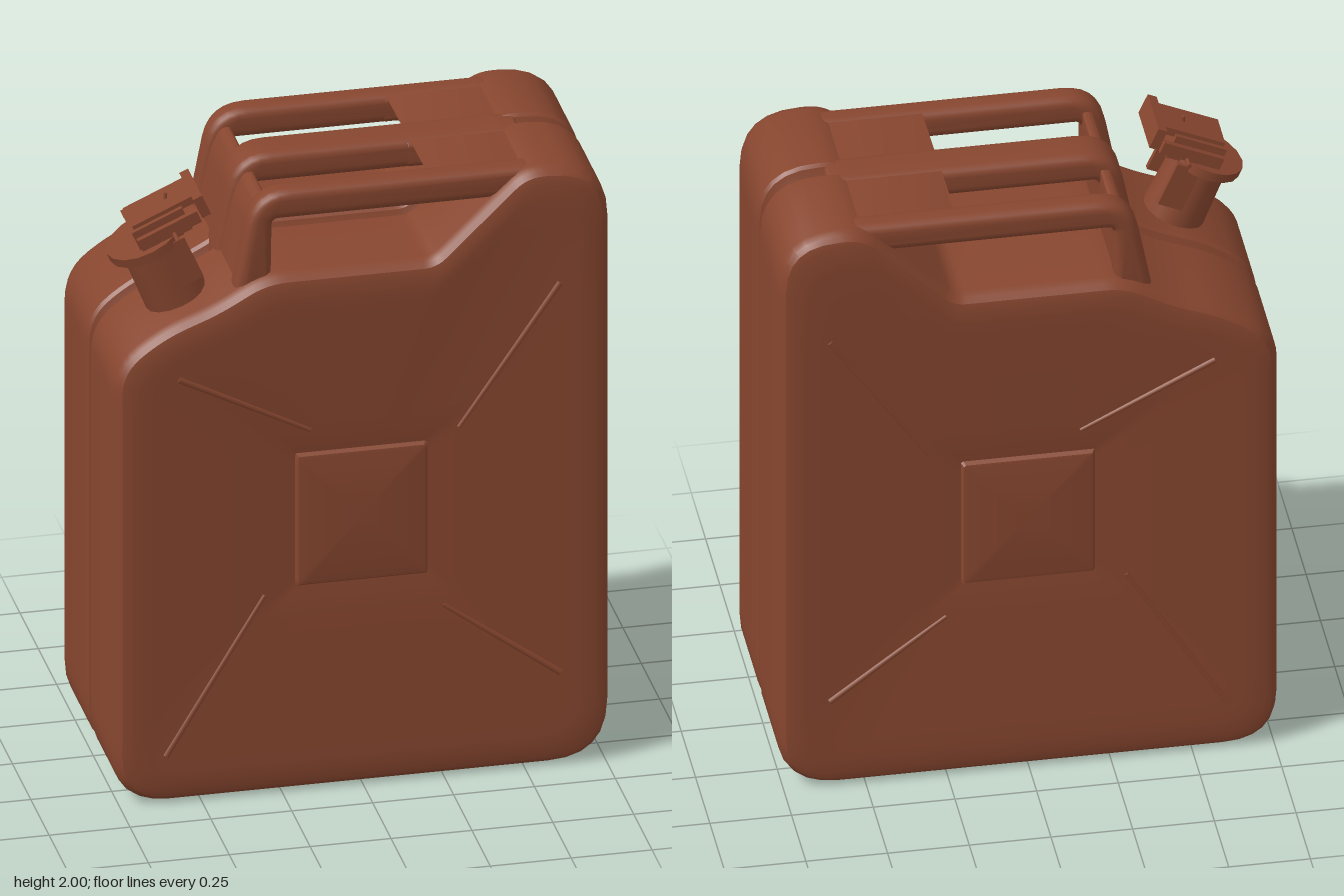
import * as THREE from 'three';
import { toCreasedNormals } from 'three/addons/utils/BufferGeometryUtils.js';

const CY = 0.9; // height of the pressed panel's centre

// Rounds each corner [x, y, cut] of a polygon and subdivides its straight edges.
function roundedOutline(corners) {
  const V = (c) => new THREE.Vector2(c[0], c[1]);
  const n = corners.length;
  const arcs = corners.map((c, i) => {
    const p = V(c), a = V(corners[(i + n - 1) % n]), b = V(corners[(i + 1) % n]);
    const start = p.clone().add(a.sub(p).setLength(c[2]));
    const end = p.clone().add(b.sub(p).setLength(c[2]));
    return new THREE.QuadraticBezierCurve(start, p, end).getPoints(6);
  });
  const pts = [];
  arcs.forEach((arc, i) => {
    const next = arcs[(i + 1) % n][0], last = arc[arc.length - 1];
    pts.push(...arc);
    const steps = Math.max(1, Math.round(last.distanceTo(next) / 0.05));
    for (let k = 1; k < steps; k++) pts.push(last.clone().lerp(next, k / steps));
  });
  return pts;
}

function inset(pts, d) {
  const n = pts.length;
  return pts.map((p, i) => {
    const t = pts[(i + 1) % n].clone().sub(pts[(i + n - 1) % n]).normalize();
    return new THREE.Vector2(p.x - t.y * d, p.y + t.x * d);
  });
}

// Projects the outline onto a rectangle around the panel centre.
function toRect(pts, hw, hh) {
  return pts.map((p) => {
    const x = p.x, y = p.y - CY;
    const s = 1 / Math.max(Math.abs(x) / hw, Math.abs(y) / hh);
    return new THREE.Vector2(x * s, CY + y * s);
  });
}

// Can shell: rings from the seam to the pressed front panel, mirrored to the back.
function bodyGeometry() {
  const outline = roundedOutline([
    [-0.765, 0, 0.17], [0.765, 0, 0.19], [0.765, 2, 0.19], [0.5, 2, 0.06],
    [0.22, 1.73, 0.03], [-0.3, 1.73, 0.07], [-0.45, 1.645, 0.06], [-0.62, 1.58, 0.08], [-0.765, 1.47, 0.09],
  ]);
  const rim = inset(outline, 0.045);
  const slope = toRect(outline, 0.28, 0.27);
  const towardSlope = (t) => rim.map((p, i) => p.clone().lerp(slope[i], t));
  const half = [
    [inset(outline, 0.045), 0.004], [inset(outline, 0.03), 0.013], [inset(outline, 0.008), 0.022],
    [outline, 0.034], [outline, 0.325],
    [inset(outline, 0.008), 0.35], [inset(outline, 0.022), 0.365], [rim, 0.372],
    [towardSlope(0.1), 0.373], [towardSlope(0.2), 0.371], [towardSlope(0.9), 0.355],
    [slope, 0.352], [toRect(outline, 0.205, 0.222), 0.346],
    [toRect(outline, 0.197, 0.214), 0.358], [toRect(outline, 0.187, 0.204), 0.36],
  ];
  const rings = [...half.map(([p, z]) => [p, -z]).reverse(), ...half];
  const n = outline.length, pos = [], idx = [];
  rings.forEach(([p, z]) => p.forEach((v) => pos.push(v.x, v.y, z)));
  for (let r = 0; r < rings.length - 1; r++) {
    for (let j = 0; j < n; j++) {
      const a = r * n + j, b = r * n + ((j + 1) % n);
      idx.push(a, b, b + n, a, b + n, a + n);
    }
  }
  const c = rings.length * n, top = c - n;
  pos.push(0, CY, -0.36, 0, CY, 0.36);
  for (let j = 0; j < n; j++) {
    const k = (j + 1) % n;
    idx.push(c, k, j, c + 1, top + j, top + k);
  }
  const g = new THREE.BufferGeometry();
  g.setAttribute('position', new THREE.Float32BufferAttribute(pos, 3));
  g.setIndex(idx);
  return toCreasedNormals(g, 0.5);
}

// Extrusion with rounded edges that stays within the given outline and depth.
function softExtrude(corners, depth, r) {
  const g = new THREE.ExtrudeGeometry(new THREE.Shape(roundedOutline(corners)), {
    depth: depth - 2 * r, bevelThickness: r, bevelSize: r, bevelOffset: -r, bevelSegments: 4,
  });
  g.translate(0, 0, r - depth / 2);
  return toCreasedNormals(g, 0.7);
}

export function createModel() {
  const paint = new THREE.MeshStandardMaterial({ color: 0x87462f });
  paint.name = 'rust brown paint';
  const model = new THREE.Group();
  model.name = 'fuelCan';
  const add = (name, geo, parent = model, x = 0, y = 0, z = 0) => {
    const m = new THREE.Mesh(geo, paint);
    m.name = name;
    m.position.set(x, y, z);
    parent.add(m);
    return m;
  };

  add('body', bodyGeometry());

  // Diagonal pressed ribs on both broad faces, tapering towards the centre
  const ribs = [
    [-0.57, 1.42, -0.16, 1.2], [0.61, 1.62, 0.3, 1.16],
    [-0.61, 0.16, -0.3, 0.66], [0.61, 0.31, 0.25, 0.57],
  ];
  for (const side of [1, -1]) {
    for (const [x1, y1, x2, y2] of ribs) {
      const a = new THREE.Vector3(x1, y1, side * 0.365), b = new THREE.Vector3(x2, y2, side * 0.351);
      const d = b.clone().sub(a);
      const rib = add('panelRib', new THREE.CylinderGeometry(0.008, 0.012, d.length(), 8));
      rib.position.copy(a).lerp(b, 0.5);
      rib.quaternion.setFromUnitVectors(new THREE.Vector3(0, 1, 0), d.normalize());
    }
  }

  // Three handle bars, each bending down into a post
  const bar = [
    [-0.395, 1.63, 0.01], [-0.325, 1.995, 0.11], [0.56, 1.995, 0.02],
    [0.56, 1.9, 0.02], [-0.268, 1.9, 0.02], [-0.272, 1.66, 0.01],
  ];
  for (const [z, width] of [[-0.2865, 0.088], [0, 0.142], [0.2865, 0.088]]) {
    add('handleBar', softExtrude(bar, width, 0.028), model, 0, 0, z);
  }

  // Wall joining the posts
  add('handlePostWall', softExtrude([
    [-0.385, 1.63, 0.01], [-0.33, 1.89, 0.04], [-0.3, 1.945, 0.02], [-0.27, 1.945, 0.01], [-0.274, 1.66, 0.01],
  ], 0.6, 0.012));

  // Web joining the bars to the raised shoulder, with a rounded notch for each slot
  const notch = [[0.2, 0.071, 0.01], [0.28, 0.071, 0.05], [0.345, 0.117, 0.025],
    [0.345, 0.197, 0.025], [0.28, 0.243, 0.05], [0.2, 0.243, 0.01]];
  add('handleWeb', softExtrude([
    [0.2, -0.32, 0.02], [0.56, -0.32, 0.02], [0.56, 0.32, 0.02], [0.2, 0.32, 0.02],
    ...notch.slice().reverse(), ...notch.map(([x, z, cut]) => [x, -z, cut]),
  ], 0.088, 0.02).rotateX(-Math.PI / 2), model, 0, 1.946, 0);

  // Spout and locking cap, square to the sloping shoulder
  const spout = new THREE.Group();
  spout.name = 'spout';
  spout.position.set(-0.53, 1.6, 0.165);
  spout.rotation.z = 0.42;
  model.add(spout);
  const box = (name, w, h, d, x, y, z = 0) => add(name, new THREE.BoxGeometry(w, h, d), spout, x, y, z);
  add('neck', new THREE.CylinderGeometry(0.09, 0.1, 0.26, 16), spout, 0, 0.09, 0);
  add('capFlange', new THREE.CylinderGeometry(0.125, 0.125, 0.03, 16), spout, -0.005, 0.225, 0);
  box('capBlock', 0.17, 0.08, 0.16, 0.05, 0.265);
  box('leverPlate', 0.23, 0.025, 0.13, 0.09, 0.305);
  box('leverTip', 0.03, 0.07, 0.19, 0.19, 0.285);
  for (const s of [1, -1]) {
    box('capArm', 0.2, 0.04, 0.018, 0.07, 0.265, s * 0.095);
    box('hingeBracket', 0.08, 0.15, 0.018, 0.06, 0.15, s * 0.095);
  }

  // Locking pin and its upright wire
  add('lockingPin', new THREE.CylinderGeometry(0.007, 0.007, 0.3, 8).rotateX(Math.PI / 2), model, -0.56, 1.86, 0.175);
  add('pinWire', new THREE.CylinderGeometry(0.006, 0.006, 0.13, 8), model, -0.565, 1.885, 0.165);

  return model;
}
